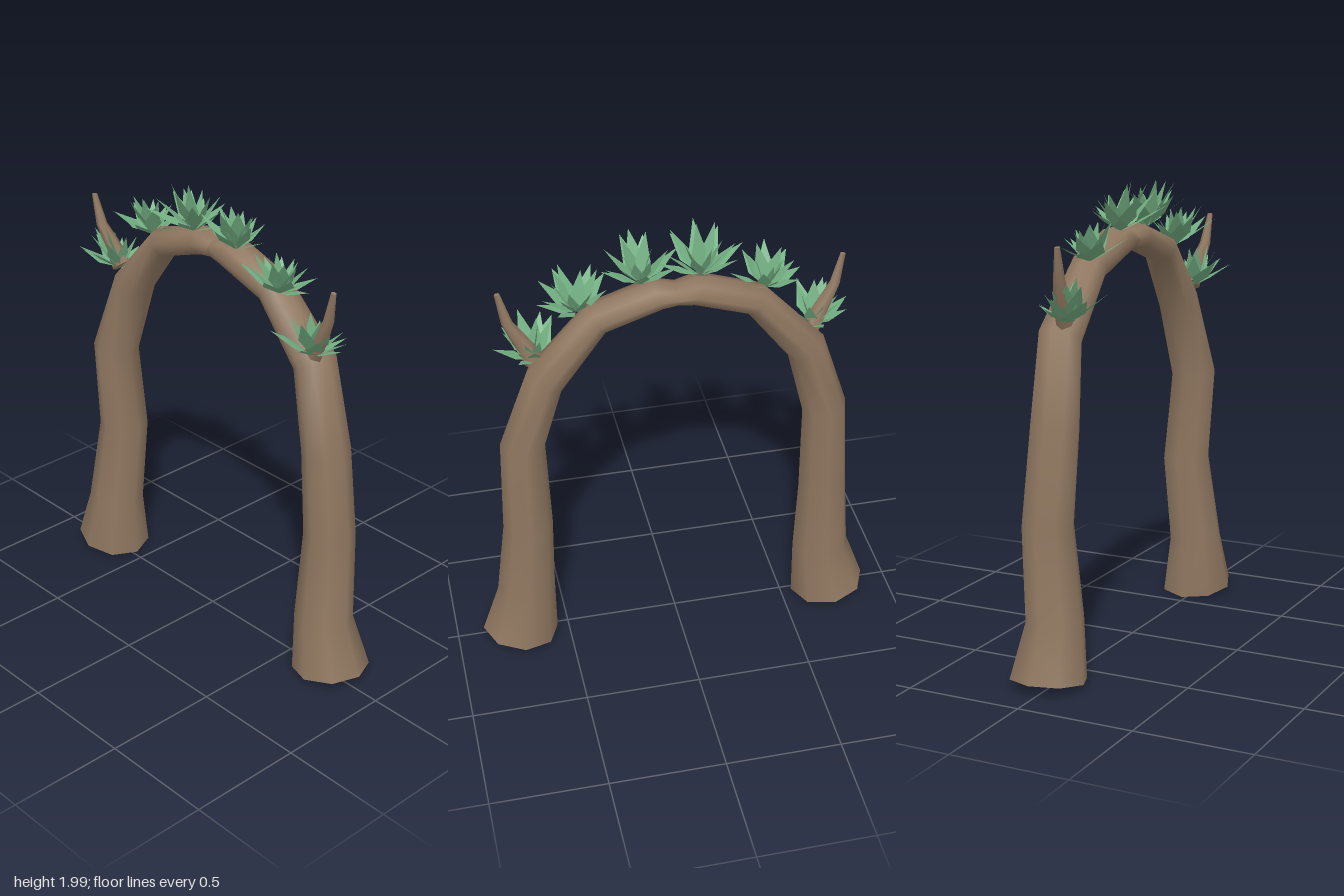
import * as THREE from 'three';

const bark = new THREE.MeshStandardMaterial({ color: 0x8f7760 });
bark.name = 'bark brown';
const green = new THREE.MeshStandardMaterial({ color: 0x74b083, side: THREE.DoubleSide });
green.name = 'leaf green';

// Skin over oval rings: [outerX, outerY, innerX, innerY, zCentre, zHalf]; side -1 mirrors in x
function loft(rings, side, sides = 8) {
  const pos = [], idx = [];
  const tri = (a, b, c) => (side > 0 ? idx.push(a, b, c) : idx.push(a, c, b));
  const addRing = ([ox, oy, ix, iy, zc, zh]) => {
    for (let j = 0; j < sides; j++) {
      const t = (j / sides) * Math.PI * 2, c = Math.cos(t) / 2;
      pos.push(side * ((ox + ix) / 2 + (ox - ix) * c), (oy + iy) / 2 + (oy - iy) * c, zc + zh * Math.sin(t));
    }
  };
  rings.forEach(addRing);
  for (let i = 0; i < rings.length - 1; i++) {
    for (let j = 0; j < sides; j++) {
      const k = (j + 1) % sides, a = i * sides, b = a + sides;
      tri(a + j, b + j, a + k);
      tri(a + k, b + j, b + k);
    }
  }
  // Separate end caps keep the rims sharp
  [rings[0], rings[rings.length - 1]].forEach((ring, end) => {
    const s = pos.length / 3;
    addRing(ring);
    for (let j = 1; j < sides - 1; j++) {
      if (end) tri(s, s + j + 1, s + j);
      else tri(s, s + j, s + j + 1);
    }
  });
  const g = new THREE.BufferGeometry();
  g.setAttribute('position', new THREE.Float32BufferAttribute(pos, 3));
  g.setIndex(idx);
  g.computeVertexNormals();
  return g;
}

// One trunk from its flared foot to the crown of the arch
const trunkRings = [
  [0.885, 0.06, 0.55, 0.01, -0.02, 0.16],
  [0.805, 0.28, 0.55, 0.28, -0.01, 0.12],
  [0.765, 0.66, 0.55, 0.66, -0.05, 0.11],
  [0.75, 1.08, 0.56, 1.05, -0.015, 0.105],
  [0.625, 1.45, 0.475, 1.37, -0.045, 0.095],
  [0.37, 1.72, 0.29, 1.61, -0.03, 0.08],
  [0.1, 1.805, 0.06, 1.69, -0.03, 0.085],
  [-0.04, 1.775, -0.03, 1.7, -0.035, 0.06],
];

// Short bare branch that bends upward
const branchRings = [
  [0.62, 1.45, 0.55, 1.51, 0.0, 0.04],
  [0.665, 1.56, 0.61, 1.595, 0.01, 0.033],
  [0.705, 1.65, 0.66, 1.66, 0.025, 0.024],
  [0.725, 1.785, 0.702, 1.79, 0.035, 0.011],
];

// Tuft of kite-shaped leaves, longest towards the front
function leafTuft(x, y, z, size, lean, seed) {
  let s = seed;
  const rand = () => ((s = (s * 16807) % 2147483647) / 2147483647);
  const pos = [], count = 18;
  const up = new THREE.Vector3(0, 1, 0);
  for (let i = 0; i < count; i++) {
    const az = i * 2.4 + rand() * 0.5;
    const el = 0.4 + 0.95 * (i / count) + (rand() - 0.5) * 0.25;
    const front = Math.sin(az);
    const dir = new THREE.Vector3(Math.cos(az) * Math.cos(el) + lean, Math.sin(el), front * Math.cos(el)).normalize();
    const wide = new THREE.Vector3().crossVectors(dir, up).normalize();
    const len = size * (0.155 + 0.03 * front + 0.025 * rand());
    const half = 0.026 + 0.012 * rand() + 0.006 * front;
    const base = new THREE.Vector3(x + dir.x * 0.01, y, z + dir.z * 0.01);
    const tip = base.clone().addScaledVector(dir, len);
    const mid = base.clone().addScaledVector(dir, len * 0.42);
    const l = mid.clone().addScaledVector(wide, half);
    const r = mid.clone().addScaledVector(wide, -half);
    for (const p of [base, l, tip, base, tip, r]) pos.push(p.x, p.y, p.z);
  }
  const g = new THREE.BufferGeometry();
  g.setAttribute('position', new THREE.Float32BufferAttribute(pos, 3));
  g.computeVertexNormals();
  return g;
}

export function createModel() {
  const group = new THREE.Group();
  group.name = 'leafyArch';
  const add = (geometry, material, name) => {
    const mesh = new THREE.Mesh(geometry, material);
    mesh.name = name;
    group.add(mesh);
  };

  // Mirrored trunks and branches
  for (const [side, label] of [[1, 'left'], [-1, 'right']]) {
    add(loft(trunkRings, side), bark, label + 'Trunk');
    add(loft(branchRings, side, 6), bark, label + 'Branch');
  }

  // Tufts along the top: x, y, z, size, sideways lean
  [
    [-0.59, 1.475, 0.01, 1.0, -0.25],
    [-0.38, 1.695, 0.0, 0.97, -0.1],
    [-0.11, 1.79, 0.0, 1.13, -0.1],
    [0.14, 1.785, 0.0, 1.07, 0.1],
    [0.4, 1.68, 0.01, 0.98, 0.15],
    [0.585, 1.475, 0.01, 1.0, 0.2],
  ].forEach((t, i) => add(leafTuft(...t, 1234 + i * 977), green, 'leafTuft' + (i + 1)));

  return group;
}
